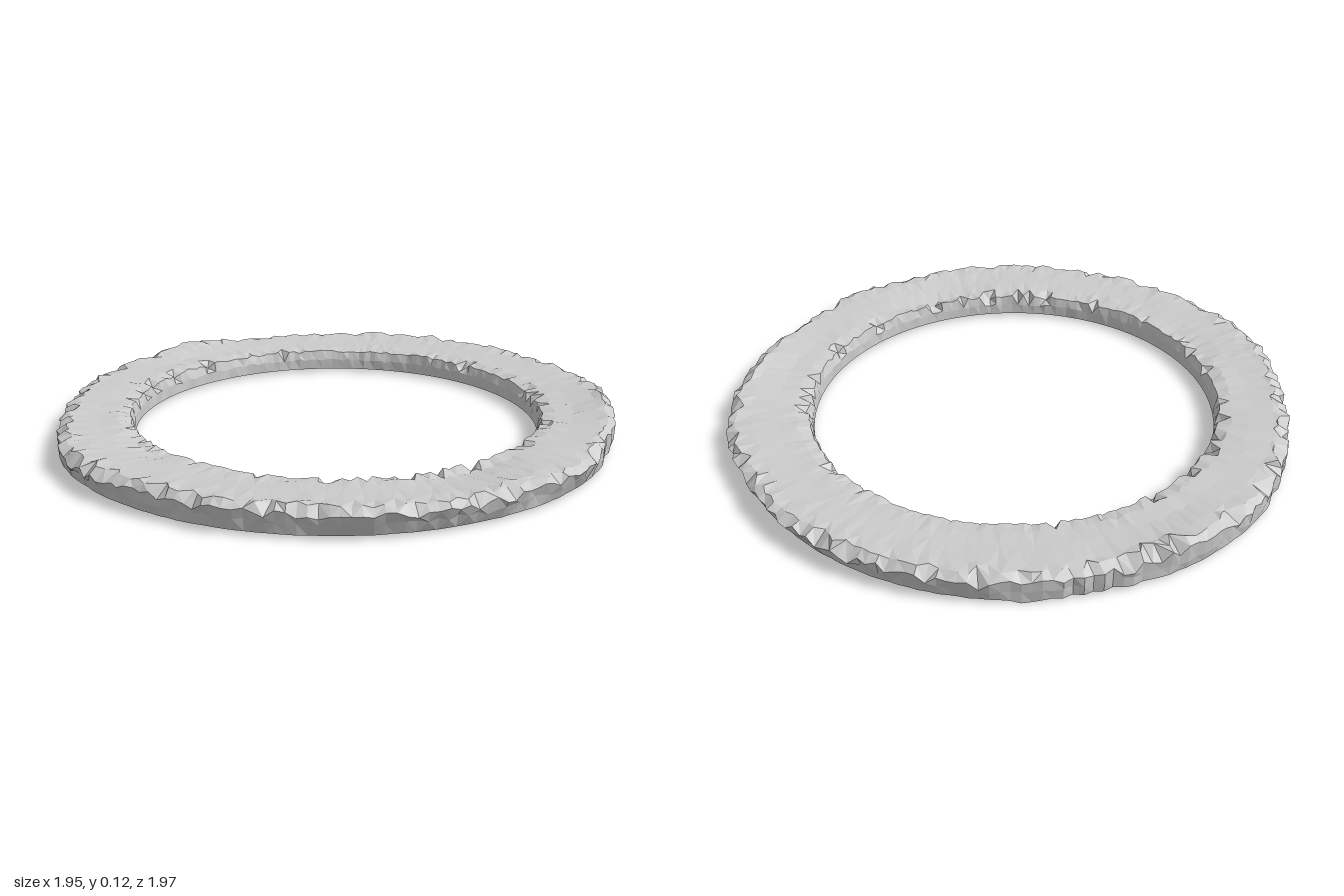
import * as THREE from 'three';

// Seeded random numbers in 0..1
function seeded(seed) {
  return () => {
    seed = (seed * 1664525 + 1013904223) % 4294967296;
    return seed / 4294967296;
  };
}

// Outer rim radius every 15 degrees, from +x round towards the back
const RIM = [0.975, 0.99, 0.955, 0.965, 0.985, 1.0, 0.985, 0.995, 0.985, 0.975, 0.965, 0.95,
  0.965, 0.965, 0.95, 0.935, 0.935, 0.955, 0.985, 0.965, 0.97, 0.965, 0.985, 0.985];

function rimRadius(deg) {
  const t = deg / 15, i = Math.floor(t) % RIM.length, f = t - Math.floor(t);
  return THREE.MathUtils.lerp(RIM[i], RIM[(i + 1) % RIM.length], f);
}

// Smooth bump of given half-width around an angle
function bump(deg, centre, width) {
  const d = Math.abs(((deg - centre + 540) % 360) - 180) / width;
  return d < 1 ? 0.5 + 0.5 * Math.cos(Math.PI * d) : 0;
}

const SEGMENTS = 200;

function createRing() {
  const rand = seeded(7);
  const jitter = (a) => (rand() - 0.5) * 2 * a;
  const positions = [], index = [];
  let n = 0;
  for (let i = 0; i < SEGMENTS; i++) {
    const deg = (i / SEGMENTS) * 360, a = THREE.MathUtils.degToRad(deg);
    const rim = rimRadius(deg) + jitter(0.007);
    const outerBase = Math.min(0.957, rim - 0.003) + jitter(0.002);
    const raise = 0.018 * bump(deg, 52, 25) + 0.018 * bump(deg, 182, 18) + 0.006 * bump(deg, 115, 35);
    const dip = 0.018 * bump(deg, 355, 22) + 0.012 * bump(deg, 270, 18);
    const chip = rand() < 0.22 ? 0.018 : 0;
    const innerChip = rand() < 0.12 ? 0.03 : 0;
    const foot = 0.012 * bump(deg, 152, 4);
    // Cross-section: flat base, chipped outer wall, uneven top, inner wall
    const section = [
      [0.7, 0.012],
      [outerBase, 0.012 - foot],
      [outerBase * 0.5 + rim * 0.5 + jitter(0.004), 0.045 + jitter(0.008)],
      [rim, 0.08 + raise - chip + jitter(0.008)],
      [rim - 0.025 - chip + jitter(0.01), 0.097 + raise + jitter(0.006)],
      [0.9 + jitter(0.01), 0.095 + raise * 0.6 + jitter(0.002)],
      [0.82 + jitter(0.01), 0.092 - dip * 0.5 + 0.002 * Math.sin(a * 7)],
      [0.755 + jitter(0.008), 0.09 - dip + jitter(0.003)],
      [0.712 + innerChip * 0.5 + jitter(0.004), 0.083 - innerChip * 0.6 + jitter(0.006)],
      [0.702 + jitter(0.003), 0.05 + jitter(0.006)],
    ];
    n = section.length;
    for (const [r, y] of section) {
      // The hole and base sit slightly off centre
      const k = r < 0.93 ? 0.008 : 0;
      positions.push(r * Math.cos(a) + k, Math.max(0, y), -r * Math.sin(a) - k);
    }
    for (let j = 0; j < n; j++) {
      const k = (j + 1) % n, next = ((i + 1) % SEGMENTS) * n;
      const A = i * n + j, B = i * n + k, C = next + j, D = next + k;
      if ((i + j) % 2) index.push(A, C, B, B, C, D);
      else index.push(A, C, D, A, D, B);
    }
  }
  const geometry = new THREE.BufferGeometry();
  geometry.setAttribute('position', new THREE.Float32BufferAttribute(positions, 3));
  geometry.setIndex(index);
  const flat = geometry.toNonIndexed();
  flat.computeVertexNormals();
  return flat;
}

export function createModel() {
  const group = new THREE.Group();
  group.name = 'stoneRing';
  const material = new THREE.MeshStandardMaterial({ color: 0xcccccc, flatShading: true });
  const ring = new THREE.Mesh(createRing(), material);
  ring.name = 'roughRing';
  group.add(ring);
  return group;
}
